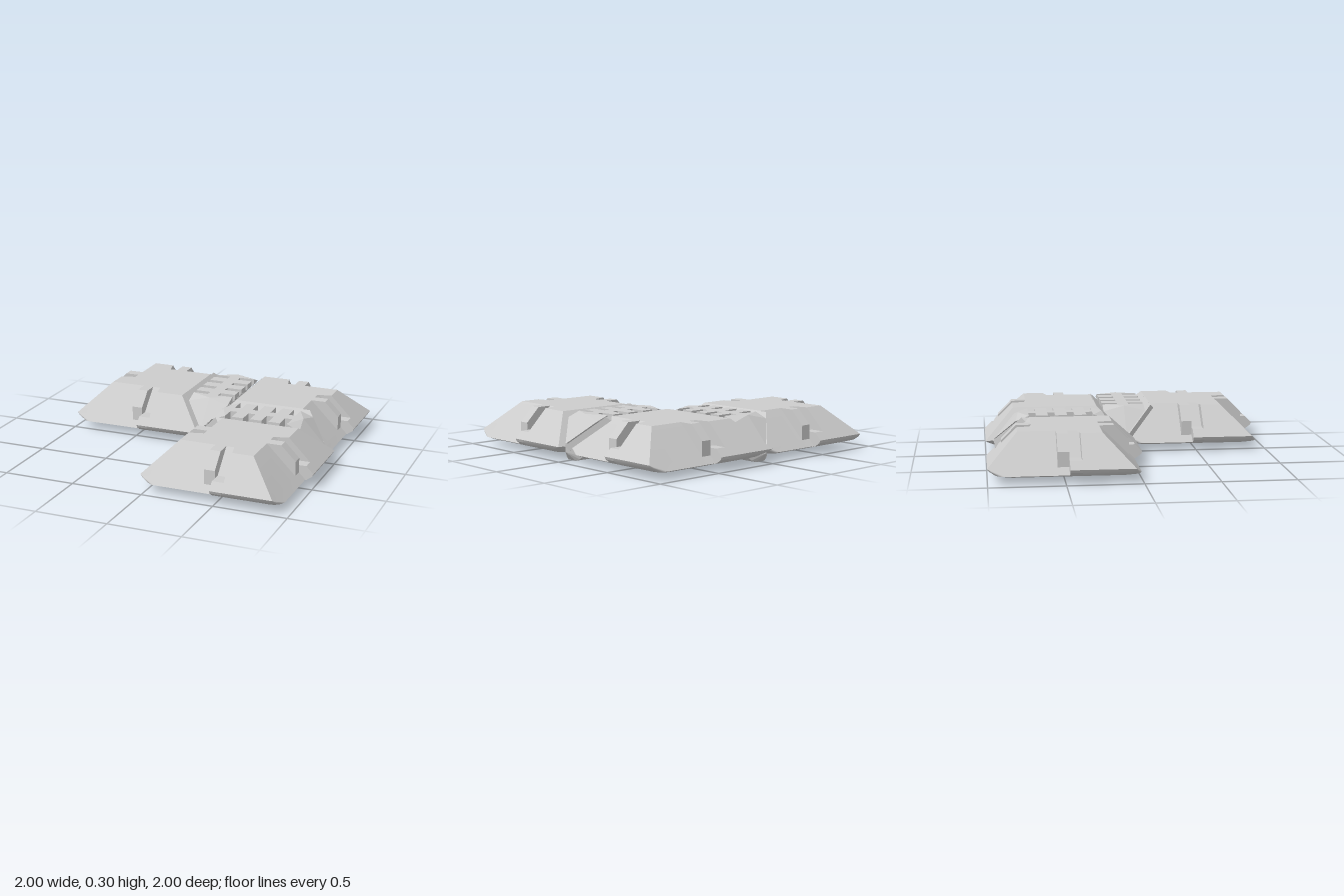
import * as THREE from 'three';
import { toCreasedNormals } from 'three/addons/utils/BufferGeometryUtils.js';
import { ConvexGeometry } from 'three/addons/geometries/ConvexGeometry.js';

const material = new THREE.MeshStandardMaterial({ color: 0xcccccc });
const V = (x, y, z) => new THREE.Vector3(x, y, z);

// Distance of a tile's side from its centre at each height
const HEIGHTS = [0.04, 0.055, 0.08, 0.1, 0.3];
const OUTER = [0.43, 0.48, 0.515, 0.525, 0.325];
const INNER = [0.43, 0.47, 0.445, 0.425, 0.225];
const LINKED = [0.4, 0.42, 0.45, 0.475, 0.275];
const CORNER = [0.08, 0.08, 0.04, 0, 0];
const CORE = [0.3, 0.3, 0.3, 0.3, 0.2];
const SLOT = 0.08;
const STEPS = 10;

function add(parent, name, geometry) {
  const mesh = new THREE.Mesh(geometry, material);
  mesh.name = name;
  parent.add(mesh);
  return mesh;
}

function extrude(points, depth) {
  const shape = new THREE.Shape(points.map(([x, y]) => new THREE.Vector2(x, y)));
  return new THREE.ExtrudeGeometry(shape, { depth, bevelEnabled: false });
}

// Profile given as (distance from centre, height), swept along x
function sideProfile(points, width, x) {
  return extrude(points, width).rotateY(-Math.PI / 2).translate(x, 0, 0);
}

// Faces between successive rows of points
function loft(rows) {
  const p = [];
  for (let j = 0; j < rows.length - 1; j++) {
    for (let i = 0; i < rows[j].length - 1; i++) {
      const [a, b] = [rows[j][i], rows[j][i + 1]];
      const [c, d] = [rows[j + 1][i], rows[j + 1][i + 1]];
      for (const t of [[a, c, b], [b, c, d]]) {
        const area = t[1].clone().sub(t[0]).cross(t[2].clone().sub(t[0])).length();
        if (area > 1e-9) t.forEach(v => p.push(v.x, v.y, v.z));
      }
    }
  }
  const g = new THREE.BufferGeometry();
  g.setAttribute('position', new THREE.Float32BufferAttribute(p, 3));
  return toCreasedNormals(g, 0.5);
}

// Quarter of a tile, with its share of the socket and peg underneath
function quarter(xSide, zSide, slot) {
  const angles = [0, 0];
  for (let i = 0; i <= STEPS; i++) angles.push((i / STEPS) * Math.PI / 2);
  angles.push(Math.PI / 2, Math.PI / 2, Math.PI / 2);
  const circle = (r, y) => angles.map(a => V(r * Math.cos(a), y, r * Math.sin(a)));

  const rows = [circle(0, 0.085), circle(0.13, 0.085), circle(0.13, 0.14), circle(0.29, 0.04)];
  HEIGHTS.forEach((y, k) => {
    const X = xSide[k], Z = zSide[k], r = CORNER[k], c = CORE[k];
    const row = [V(c, y, 0), V(X, y, 0)];
    for (let i = 0; i <= STEPS; i++) {
      const a = (i / STEPS) * Math.PI / 2;
      row.push(V(X - r + r * Math.cos(a), y, Z - r + r * Math.sin(a)));
    }
    row.push(V(slot, y, Z), V(slot, y, c), V(0, y, c));
    rows.push(row);
  });
  rows.push(circle(0, 0.3));
  return loft(rows);
}

// Tile with stepped sides; sides are 0 front, 1 left (+x), 2 back, 3 right (-x)
function tile(name, x, z, linkedSides) {
  const group = new THREE.Group();
  group.name = name;
  group.position.set(x, 0, z);
  for (let k = 0; k < 4; k++) {
    const linked = linkedSides.includes(k);
    const nextLinked = linkedSides.includes((k + 1) % 4);
    const side = new THREE.Group();
    side.name = 'tileQuarter';
    side.rotation.y = k * Math.PI / 2;
    group.add(side);
    add(side, 'tileBody',
      quarter(nextLinked ? LINKED : INNER, linked ? LINKED : OUTER, linked ? 0 : SLOT));
    if (linked) {
      // Sloped plate facing the connector
      const pts = [];
      for (const s of [-1, 1]) {
        for (const [y, d] of [[0.1, 0.478], [0.298, 0.28]]) {
          pts.push(V(s * (d - 0.003), y, d));
          pts.push(V(s * (d - 0.033), y - 0.03, d - 0.03));
        }
      }
      add(side, 'sidePlate', new ConvexGeometry(pts));
    } else {
      // Notch in the projecting half, tab on the recessed half
      add(side, 'slot', sideProfile([
        [0.2, 0.3], [0.225, 0.3], [0.375, 0.15], [0.475, 0.15], [0.525, 0.1],
        [0.515, 0.08], [0.48, 0.055], [0.43, 0.04], [0.3, 0.04], [0.3, 0.1],
      ].reverse(), SLOT, SLOT));
      add(side, 'tab', sideProfile([
        [0.3, 0.1], [0.425, 0.1], [0.425, 0.2], [0.325, 0.3], [0.2, 0.3],
      ], 0.075, 0));
    }
  }
  return group;
}

// Wedge that sits in the valley between two tiles
function connector(x, z, turn) {
  const group = new THREE.Group();
  group.name = 'connector';
  group.position.set(x, 0, z);
  group.rotation.y = turn;

  const section = w => [
    [0, 0.115], [w, 0.115 + w], [w, 0.3], [-w, 0.3], [-w, 0.115 + w],
  ];
  // Central spine with a comb of teeth
  add(group, 'spine', extrude(section(0.04), 0.45).translate(0, 0, -0.225));
  const slots = [-0.2, -0.067, 0.067, 0.2];
  let start = -0.225;
  for (const c of [...slots, 0.25]) {
    const end = Math.min(c - 0.025, 0.225);
    if (end - start > 0.001) {
      add(group, 'tooth', extrude(section(0.15), end - start).translate(0, 0, start));
    }
    start = c + 0.025;
  }
  // Pointed ends
  for (const s of [-1, 1]) {
    const pts = [V(0, 0.115, s * 0.225), V(0, 0.115, s * 0.465), V(0, 0.3, s * 0.295)];
    for (const m of [-1, 1]) {
      pts.push(V(m * 0.15, 0.265, s * 0.225), V(m * 0.15, 0.265, s * 0.318));
      pts.push(V(m * 0.15, 0.3, s * 0.225));
    }
    add(group, 'pointedEnd', new ConvexGeometry(pts));
  }
  // Keel below the tiles
  const keel = [];
  for (const s of [-1, 1]) {
    keel.push(V(0, 0.12, s * 0.465), V(0, 0.06, s * 0.465));
    for (const m of [-1, 1]) {
      keel.push(V(m * 0.09, 0.032, s * 0.39), V(m * 0.07, 0.012, s * 0.4));
      keel.push(V(m * 0.04, 0, s * 0.41));
    }
  }
  add(group, 'keel', new ConvexGeometry(keel));
  return group;
}

export function createModel() {
  const model = new THREE.Group();
  model.name = 'linkedTiles';
  const c = 0.475;
  model.add(
    tile('backRightTile', -c, -c, [1]),
    tile('backLeftTile', c, -c, [0, 3]),
    tile('frontLeftTile', c, c, [2]),
    connector(0, -c, 0),
    connector(c, 0, Math.PI / 2),
  );
  return model;
}
